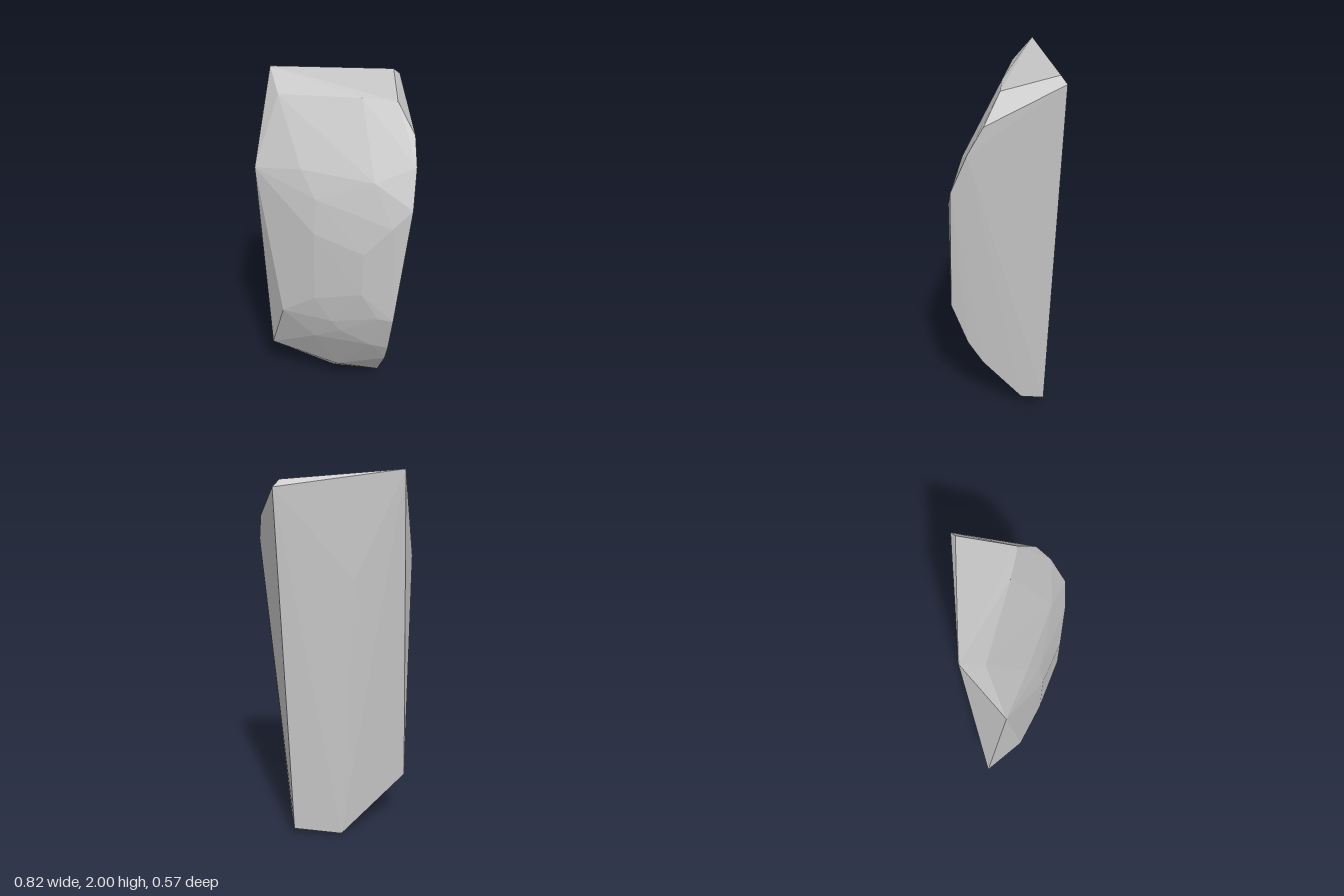
import * as THREE from 'three';
import { ConvexGeometry } from 'three/addons/geometries/ConvexGeometry.js';

// Corners of the faceted stone, grouped by region
const crown = [
  [-0.32, 2.0, -0.2], [0.315, 1.96, -0.26], [0.352, 1.925, -0.287],
  [0.315, 1.89, 0.025], [0.14, 1.9, 0.0], [-0.28, 1.89, -0.09],
];
const rightEdge = [
  [0.4, 1.745, 0.11], [0.407, 1.61, 0.19], [0.39, 1.41, 0.275], [0.315, 0.73, 0.286],
  [0.302, 0.48, 0.2], [0.295, 0.34, 0.12], [0.275, 0.07, -0.1], [0.27, 0.05, -0.23],
];
const leftEdge = [
  [-0.41, 1.53, 0.005], [-0.37, 0.29, -0.115], [-0.29, 0.67, 0.08],
];
const frontBulge = [
  [-0.17, 1.56, 0.095], [0.2, 1.53, 0.205], [-0.1, 1.42, 0.157],
  [-0.11, 1.23, 0.18], [0.15, 1.15, 0.27], [0.29, 1.31, 0.284],
  [-0.11, 0.82, 0.18], [0.14, 0.9, 0.27], [0.23, 0.74, 0.273],
  [-0.02, 0.67, 0.19], [0.03, 0.6, 0.185], [-0.11, 0.5, 0.1], [0.21, 0.5, 0.197],
];
const back = [[-0.06, 1.45, -0.243]];
const foot = [[0.02, 0.16, -0.05], [0.005, 0, -0.23]];

export function createModel() {
  const group = new THREE.Group();
  group.name = 'rock';

  const stone = new THREE.MeshStandardMaterial({ color: 0xc4c4c4 });
  stone.name = 'stone grey';

  // One convex block with a flat normal on every facet
  const points = [...crown, ...rightEdge, ...leftEdge, ...frontBulge, ...back, ...foot]
    .map((p) => new THREE.Vector3(...p));
  const block = new THREE.Mesh(new ConvexGeometry(points), stone);
  block.name = 'stoneBlock';
  group.add(block);
  return group;
}
